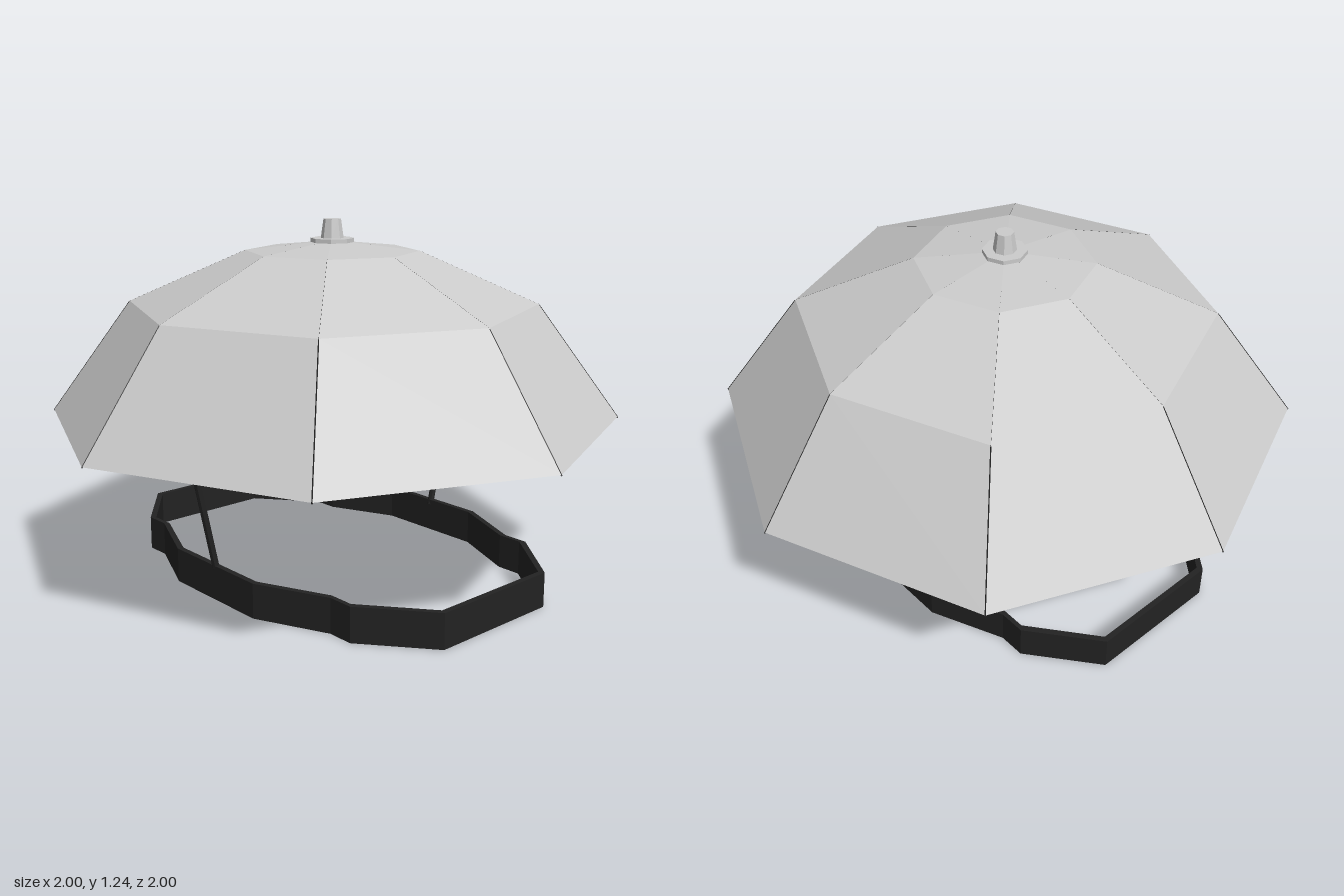
import * as THREE from 'three';

export function createModel() {
  const model = new THREE.Group();
  model.name = 'umbrellaHat';
  const grey = new THREE.MeshStandardMaterial({ color: 0xcccccc, flatShading: true });
  const cloth = new THREE.MeshStandardMaterial({ color: 0xcccccc, flatShading: true, side: THREE.DoubleSide });
  const dark = new THREE.MeshStandardMaterial({ color: 0x222222, flatShading: true });

  const add = (name, geometry, material, parent = model) => {
    const mesh = new THREE.Mesh(geometry, material);
    mesh.name = name;
    parent.add(mesh);
    return mesh;
  };

  // Straight rod between two points
  const rod = (name, a, b, radius, sides, parent) => {
    const dir = b.clone().sub(a);
    const mesh = add(name, new THREE.CylinderGeometry(radius, radius, dir.length(), sides), dark, parent);
    mesh.position.copy(a).add(b).multiplyScalar(0.5);
    mesh.quaternion.setFromUnitVectors(new THREE.Vector3(0, 1, 0), dir.normalize());
    return mesh;
  };

  // Eight-panel canopy, an open thin shell
  const profile = [[1, 0.555], [0.71, 0.95], [0.3, 1.13], [0, 1.165]].map(p => new THREE.Vector2(...p));
  add('canopy', new THREE.LatheGeometry(profile, 8), cloth);

  // Fine ribs along the seams between panels
  for (let i = 0; i < 8; i++) {
    const rib = new THREE.Group();
    rib.name = 'rib';
    rib.rotation.y = i * Math.PI / 4;
    for (let j = 0; j < 3; j++) {
      const [a, b] = [profile[j], profile[j + 1]].map(p => new THREE.Vector3(p.x, p.y - 0.003, 0));
      rod('ribSegment', a, b, 0.003, 4, rib);
    }
    model.add(rib);
  }

  // Cap on the crown: flat washer and tapered knob
  add('crownWasher', new THREE.CylinderGeometry(0.075, 0.075, 0.014, 8), grey).position.y = 1.166;
  add('crownKnob', new THREE.CylinderGeometry(0.03, 0.04, 0.07, 8), grey).position.y = 1.203;

  // Headband: one quarter of the outline mirrored around, with a thin wall
  const quarter = [[0.53, 0.21], [0.42, 0.46], [0.42, 0.55], [0.24, 0.775]];
  const half = [...quarter, ...quarter.map(([x, z]) => [-x, z]).reverse()];
  const outline = [...half, ...half.map(([x, z]) => [-x, -z])];
  const wall = 0.02;
  const band = new THREE.Shape(outline.map(p => new THREE.Vector2(...p)));
  band.holes.push(new THREE.Path(
    outline.map(([x, z]) => new THREE.Vector2(x * (1 - wall / 0.53), z * (1 - wall / 0.775)))
  ));
  const bandGeometry = new THREE.ExtrudeGeometry(band, { depth: 0.12, bevelEnabled: false });
  bandGeometry.rotateX(-Math.PI / 2);
  add('headband', bandGeometry, dark);

  // Struts from the headband up to the canopy's bend
  for (const side of [1, -1]) {
    rod(side > 0 ? 'leftStrut' : 'rightStrut',
      new THREE.Vector3(side * 0.518, 0.1, 0),
      new THREE.Vector3(side * 0.7, 0.94, 0), 0.012, 8);
  }
  return model;
}
